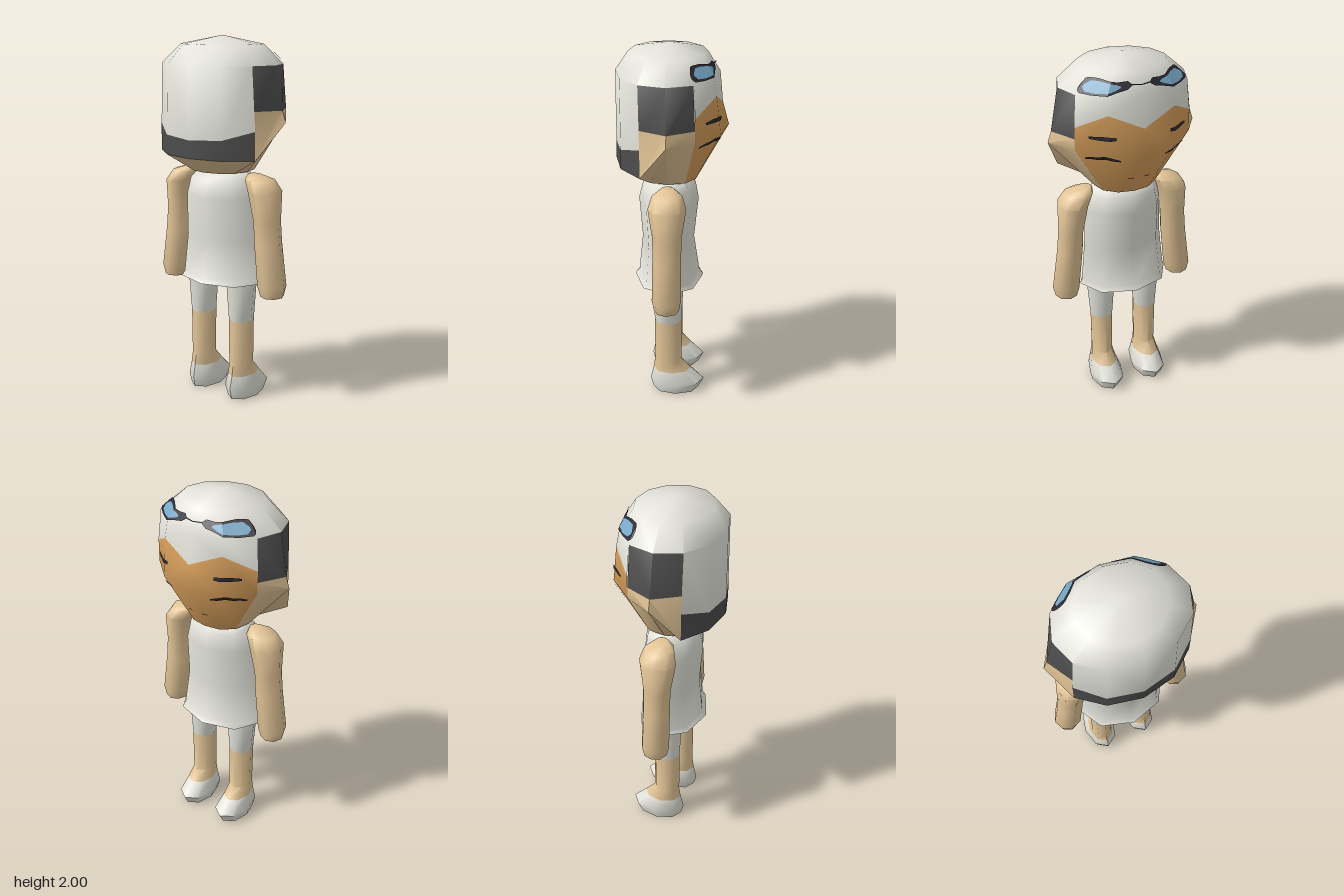
import * as THREE from 'three';
import { toCreasedNormals } from 'three/addons/utils/BufferGeometryUtils.js';

const paint = (name, color) => {
  const m = new THREE.MeshStandardMaterial({ color });
  m.name = name;
  return m;
};

// Closed tube through elliptical rings [y, centreX, radiusX, zFront, zBack], bottom to top
function loft(rings, sides, capBottom = true, capTop = true) {
  const pos = [], idx = [];
  for (const [y, cx, rx, zf, zb] of rings)
    for (let i = 0; i < sides; i++) {
      const a = (i / sides) * Math.PI * 2;
      pos.push(cx + rx * Math.sin(a), y, (zf + zb) / 2 + ((zb - zf) / 2) * Math.cos(a));
    }
  for (let r = 0; r < rings.length - 1; r++)
    for (let i = 0; i < sides; i++) {
      const a = r * sides + i, b = r * sides + ((i + 1) % sides);
      idx.push(a, b, b + sides, a, b + sides, a + sides);
    }
  const top = (rings.length - 1) * sides;
  for (let i = 1; i < sides - 1; i++) {
    if (capBottom) idx.push(0, i + 1, i);
    if (capTop) idx.push(top, top + i, top + i + 1);
  }
  const g = new THREE.BufferGeometry();
  g.setAttribute('position', new THREE.Float32BufferAttribute(pos, 3));
  g.setIndex(idx);
  return toCreasedNormals(g, 0.95);
}

// Head columns from the face (0) round the side (3) to the back (6): [y, x, z] going down
const crown = (i) => {
  const s = Math.sin((i * Math.PI) / 6), c = Math.cos((i * Math.PI) / 6);
  return [[2, 0, 0.02], [1.955, 0.23 * s, 0.022 - 0.203 * c], [1.855, 0.347 * s, 0.025 - 0.27 * c]];
};
const columns = [
  [[1.69, 0, -0.262], [1.57, 0, -0.296], [1.29, 0, -0.14]],
  [[1.77, 0.178, -0.225], [1.57, 0.17, -0.25], [1.29, 0.085, -0.125]],
  [[1.69, 0.315, -0.12], [1.57, 0.315, -0.12], [1.29, 0.15, -0.07]],
  [[1.63, 0.39, 0.02], [1.57, 0.41, 0.02], [1.29, 0.17, 0.02]],
  [[1.53, 0.318, 0.155], [1.38, 0.32, 0.155], [1.29, 0.15, 0.11]],
  [[1.485, 0.185, 0.26], [1.38, 0.185, 0.262], [1.29, 0.085, 0.16]],
  [[1.475, 0, 0.298], [1.38, 0, 0.3], [1.29, 0, 0.18]],
].map((low, i) => [...crown(i), ...low]);

// Point on a head column at height y
function onColumn(i, y) {
  const c = columns[i];
  let k = 0;
  while (k < c.length - 2 && y < c[k + 1][0]) k++;
  const t = (c[k][0] - y) / (c[k][0] - c[k + 1][0]);
  return new THREE.Vector3(...[1, 2].map((j) => c[k][j] + (c[k + 1][j] - c[k][j]) * t), 0)
    .set(c[k][1] + (c[k + 1][1] - c[k][1]) * t, y, c[k][2] + (c[k + 1][2] - c[k][2]) * t);
}
// Point on the head between columns
function onHead(u, y) {
  const i = Math.min(5, Math.floor(u));
  return onColumn(i, y).lerp(onColumn(i + 1, y), u - i);
}

// Adds a quad on side s, wound outwards (left and right seen from outside)
function quad(out, bl, br, tr, tl, s) {
  const order = s > 0 ? [bl, br, tr, bl, tr, tl] : [bl, tr, br, bl, tl, tr];
  for (const p of order) out.push(s * p.x, p.y, p.z);
}

// Thin painted strip lying just above the head surface: samples of [u, topY, bottomY]
function strip(samples, s, lift) {
  const out = [], centre = new THREE.Vector3(0, 1.6, 0.02);
  const at = (u, y) => onHead(u, y).sub(centre).multiplyScalar(lift).add(centre);
  for (let k = 0; k < samples.length - 1; k++) {
    const [u, t, b] = samples[k], [v, t2, b2] = samples[k + 1];
    quad(out, at(v, b2), at(u, b), at(u, t), at(v, t2), s);
  }
  const g = new THREE.BufferGeometry();
  g.setAttribute('position', new THREE.Float32BufferAttribute(out, 3));
  g.computeVertexNormals();
  return g;
}

export function createModel() {
  const white = paint('white', 0xe2e2da), skin = paint('skin', 0xe2c496), face = paint('face', 0xd9a05c);
  const dark = paint('dark trim', 0x4c4c4c), ink = paint('ink', 0x2a2a33), glass = paint('glass', 0x78a8c8);
  const model = new THREE.Group();
  const add = (name, geometry, material, parent = model) => {
    const m = new THREE.Mesh(geometry, material);
    m.name = name;
    parent.add(m);
    return m;
  };

  // Head: each segment is a stack of bands [y at its column, y at the next, material]
  const mats = [white, dark, skin, face];
  const W = 0, D = 1, S = 2, F = 3;
  const segments = [
    [[1.69, 1.77, W], [1.57, 1.57, F], [1.29, 1.29, F]],
    [[1.77, 1.69, W], [1.57, 1.57, F], [1.29, 1.29, F]],
    [[1.63, 1.63, D], [1.57, 1.57, S], [1.29, 1.29, S]],
    [[1.63, 1.63, D], [1.57, 1.38, S], [1.29, 1.29, S]],
    [[1.53, 1.485, W], [1.38, 1.38, D], [1.29, 1.29, S]],
    [[1.485, 1.475, W], [1.38, 1.38, D], [1.29, 1.29, S]],
  ];
  const tris = mats.map(() => []);
  for (const s of [1, -1])
    segments.forEach((bands, i) => {
      let a = 2, b = 2;
      for (const [ya, yb, m] of [[1.955, 1.955, W], [1.855, 1.855, W], ...bands]) {
        quad(tris[m], onColumn(i + 1, yb), onColumn(i, ya), onColumn(i, a), onColumn(i + 1, b), s);
        a = ya;
        b = yb;
      }
      // Underside of the chin
      const p = onColumn(i, 1.29), q = onColumn(i + 1, 1.29), c = new THREE.Vector3(0, 1.29, 0.02);
      for (const v of s > 0 ? [c, p, q] : [c, q, p]) tris[S].push(s * v.x, v.y, v.z);
    });
  const headGeo = new THREE.BufferGeometry();
  headGeo.setAttribute('position', new THREE.Float32BufferAttribute(tris.flat(), 3));
  let start = 0;
  tris.forEach((t, m) => {
    headGeo.addGroup(start, t.length / 3, m);
    start += t.length / 3;
  });
  add('head', toCreasedNormals(headGeo, 0.9), mats);

  // Goggles, brows, eyes and mouth painted on the head
  const frame = [[0.32, 1.902, 1.895], [0.45, 1.915, 1.88], [0.75, 1.912, 1.87], [1, 1.915, 1.858],
    [1.5, 1.925, 1.857], [1.9, 1.926, 1.862], [2, 1.922, 1.87], [2.06, 1.9, 1.882]];
  const lens = [[0.66, 1.893, 1.888], [0.8, 1.9, 1.877], [1, 1.905, 1.867], [1.4, 1.912, 1.864],
    [1.75, 1.913, 1.869], [1.9, 1.895, 1.885]];
  const marks = [
    ['goggleFrame', frame, ink, 1.02],
    ['goggleBridge', [[0, 1.9, 1.896], [0.35, 1.902, 1.897]], ink, 1.02],
    ['goggleLens', lens, glass, 1.028],
    ['brow', [[0.82, 1.66, 1.645], [1, 1.664, 1.643], [1.3, 1.662, 1.642], [1.58, 1.656, 1.645]], ink, 1.02],
    ['eye', [[0.75, 1.535, 1.525], [1, 1.555, 1.535], [1.2, 1.56, 1.54], [1.4, 1.548, 1.53],
      [1.6, 1.545, 1.53], [1.8, 1.535, 1.525]], ink, 1.02],
    ['mouth', [[0.25, 1.405, 1.4], [0.5, 1.403, 1.398]], ink, 1.02],
  ];
  for (const s of [1, -1])
    for (const [name, samples, mat, lift] of marks)
      add((s > 0 ? 'left ' : 'right ') + name, strip(samples, s, lift), mat);

  // Neck and dress
  add('neck', loft([[1.24, 0, 0.12, -0.08, 0.11], [1.3, 0, 0.11, -0.08, 0.11]], 8), skin);
  add('dress', loft([
    [0.68, 0, 0.26, -0.175, 0.21], [0.705, 0, 0.25, -0.153, 0.187], [0.92, 0, 0.228, -0.12, 0.165],
    [1.15, 0, 0.22, -0.143, 0.182], [1.245, 0, 0.2, -0.125, 0.158], [1.285, 0, 0.165, -0.09, 0.11],
  ], 8), white);

  // Arms and legs, mirrored
  for (const s of [1, -1]) {
    const side = s > 0 ? 'left ' : 'right ';
    const limb = (name, rings, mat, ...caps) =>
      add(side + name, loft(rings.map(([y, x, ...r]) => [y, s * x, ...r]), 8, ...caps), mat);
    limb('arm', [
      [0.632, 0.342, 0.063, -0.045, 0.088], [0.69, 0.34, 0.08, -0.056, 0.1], [0.92, 0.312, 0.075, -0.055, 0.096],
      [1.04, 0.303, 0.072, -0.056, 0.096], [1.2, 0.287, 0.086, -0.08, 0.12], [1.26, 0.252, 0.08, -0.06, 0.1],
      [1.285, 0.215, 0.035, -0.015, 0.055],
    ], skin);
    limb('stocking', [[0.455, 0.135, 0.066, -0.055, 0.095], [0.7, 0.135, 0.086, -0.066, 0.108]], white, false);
    limb('leg', [
      [0.135, 0.135, 0.074, -0.112, 0.105], [0.195, 0.135, 0.062, -0.056, 0.095],
      [0.455, 0.135, 0.066, -0.055, 0.095],
    ], skin, false, false);
    limb('shoe', [
      [0, 0.135, 0.08, -0.155, 0.107], [0.06, 0.133, 0.097, -0.186, 0.122], [0.135, 0.135, 0.074, -0.112, 0.105],
    ], white, true, false);
  }
  return model;
}
